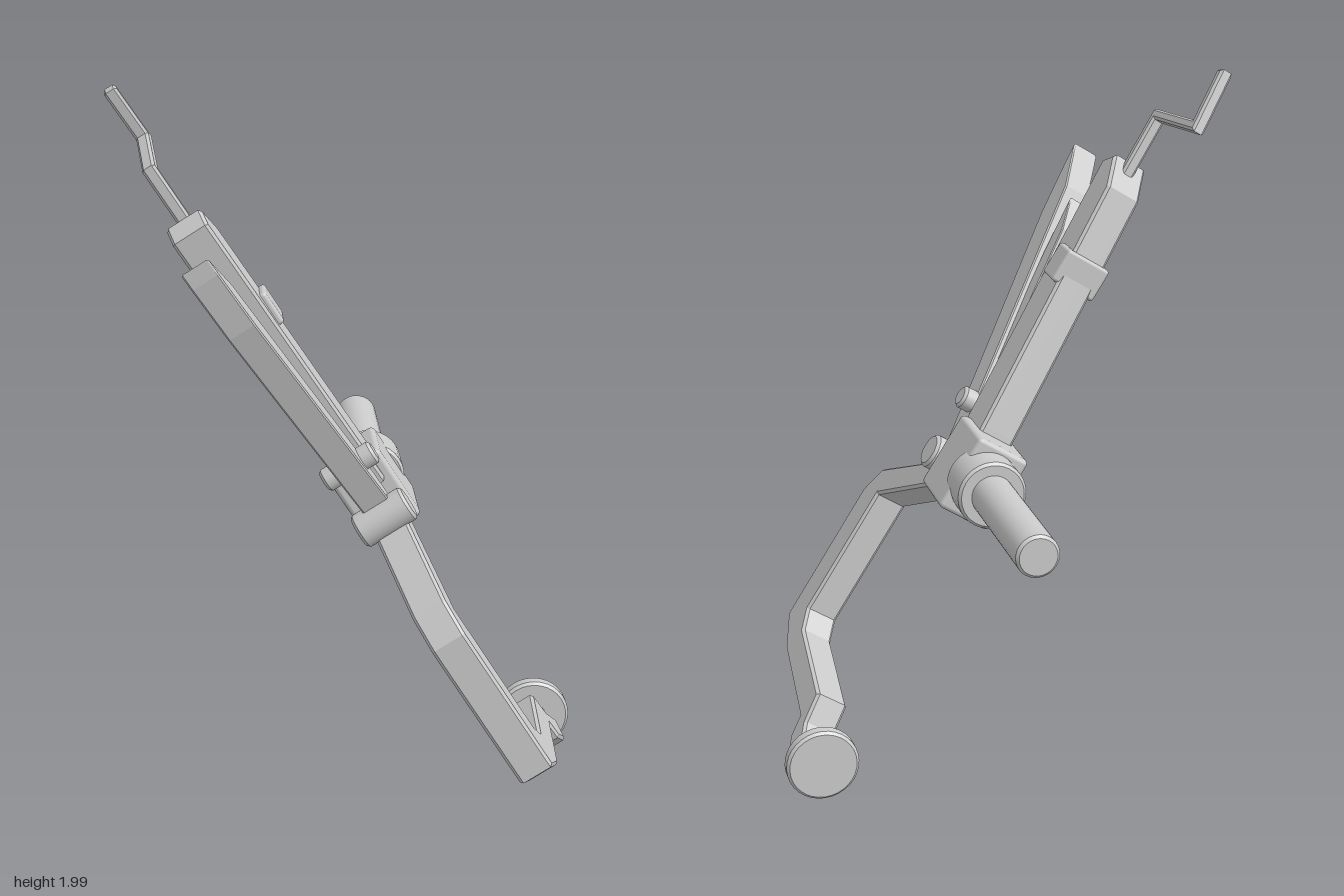
import * as THREE from 'three';
import { RoundedBoxGeometry } from 'three/addons/geometries/RoundedBoxGeometry.js';

const material = new THREE.MeshStandardMaterial({ color: 0xcccccc });

export function createModel() {
  const model = new THREE.Group();
  // Everything is built upright (y along the handle, x its width), then tilted.
  const tilted = new THREE.Group();
  tilted.name = 'leverAssembly';
  tilted.position.set(0.06, 0.88, 0);
  tilted.rotation.z = 0.562;
  model.add(tilted);

  function add(name, geometry, x = 0, y = 0, z = 0) {
    const mesh = new THREE.Mesh(geometry, material);
    mesh.name = name;
    mesh.position.set(x, y, z);
    tilted.add(mesh);
    return mesh;
  }

  // Side profile of [z, y] points, extruded across the width with bevelled edges.
  function slab(name, points, width, bevel = 0.008) {
    const shape = new THREE.Shape(points.map(([z, y]) => new THREE.Vector2(z, y)));
    const depth = width - 2 * bevel;
    const geometry = new THREE.ExtrudeGeometry(shape, {
      depth, bevelEnabled: true, bevelSize: bevel, bevelThickness: bevel,
      bevelOffset: -bevel, bevelSegments: 1,
    });
    geometry.translate(0, 0, -depth / 2);
    geometry.rotateY(-Math.PI / 2);
    return add(name, geometry);
  }

  // Constant-thickness outline around a bent centre line, mitred at the bends.
  function band(path, thickness) {
    const pts = path.map(p => new THREE.Vector2(...p));
    const near = [], far = [];
    pts.forEach((p, i) => {
      const a = p.clone().sub(pts[Math.max(i - 1, 0)]).normalize();
      const b = pts[Math.min(i + 1, pts.length - 1)].clone().sub(p).normalize();
      const t = a.clone().add(b).normalize();
      const n = new THREE.Vector2(-t.y, t.x);
      const dir = a.length() ? a : b;
      const offset = thickness / 2 / Math.max(0.4, t.dot(dir));
      near.push([p.x + n.x * offset, p.y + n.y * offset]);
      far.unshift([p.x - n.x * offset, p.y - n.y * offset]);
    });
    return near.concat(far);
  }

  // Round part with chamfered rims, along 'x' or 'z'.
  function round(name, radius, length, axis, x, y, z, rim = 0.008) {
    const h = length / 2;
    const corners = [[0, -h], [radius - rim, -h], [radius, -h + rim],
      [radius, h - rim], [radius - rim, h], [0, h]];
    // Separate bands keep the rim edges sharp.
    for (let i = 0; i < corners.length - 1; i++) {
      const geometry = new THREE.LatheGeometry(
        [corners[i], corners[i + 1]].map(c => new THREE.Vector2(...c)), 32);
      if (axis === 'x') geometry.rotateZ(-Math.PI / 2);
      else geometry.rotateX(Math.PI / 2);
      add(name, geometry, x, y, z);
    }
  }

  // Central block with collar and mounting shaft
  add('centralBlock', new RoundedBoxGeometry(0.164, 0.228, 0.22, 2, 0.014), 0, 0, 0.05);
  round('collar', 0.097, 0.14, 'z', 0, 0, -0.08);
  round('mountingShaft', 0.06, 0.5, 'z', 0, 0, -0.36);

  // Upper arm with its clip and cranked rod
  slab('upperArm', [[0.315, 0.925], [0.255, 0.957], [0.175, 0.875], [0.045, 0.13],
    [0.03, 0.03], [0.17, 0.03]], 0.108);
  add('armClip', new RoundedBoxGeometry(0.14, 0.1, 0.1, 2, 0.01), 0, 0.62, 0.177);
  slab('crankRod', band([[0.235, 0.9], [0.252, 1.11], [-0.03, 1.143], [0.01, 1.31]], 0.03),
    0.038, 0.007);

  // Two levers
  slab('mainLever', [[0.605, 0.909], [0.49, 0.797], [0.2, 0.093], [0.18, -0.05],
    [0.24, -0.02], [0.55, 0.69], [0.598, 0.86]], 0.08, 0.004);
  slab('secondLever', [[0.447, 0.775], [0.375, 0.69], [0.215, 0.2], [0.215, 0.12],
    [0.25, 0.14], [0.405, 0.6]], 0.05, 0.003);

  // Hinge pins
  round('largeHingePin', 0.05, 0.16, 'x', 0, -0.037, 0.235);
  round('smallHingePin', 0.033, 0.16, 'x', 0, 0.142, 0.245);

  // Curved lower arm
  slab('lowerArm', [[0.17, -0.03], [0.55, -0.21], [0.603, -0.30], [0.603, -0.755],
    [0.47, -0.82], [0.1, -0.877], [0.08, -0.936], [0, -0.99], [-0.07, -0.95],
    [0.04, -0.865], [0.07, -0.782], [0.43, -0.73], [0.485, -0.68], [0.485, -0.274],
    [0.17, -0.115]], 0.1);

  // End knob
  round('knobStem', 0.036, 0.1, 'z', 0, -0.91, -0.045);
  round('knobDisc', 0.104, 0.045, 'z', 0, -0.91, -0.102);

  return model;
}
